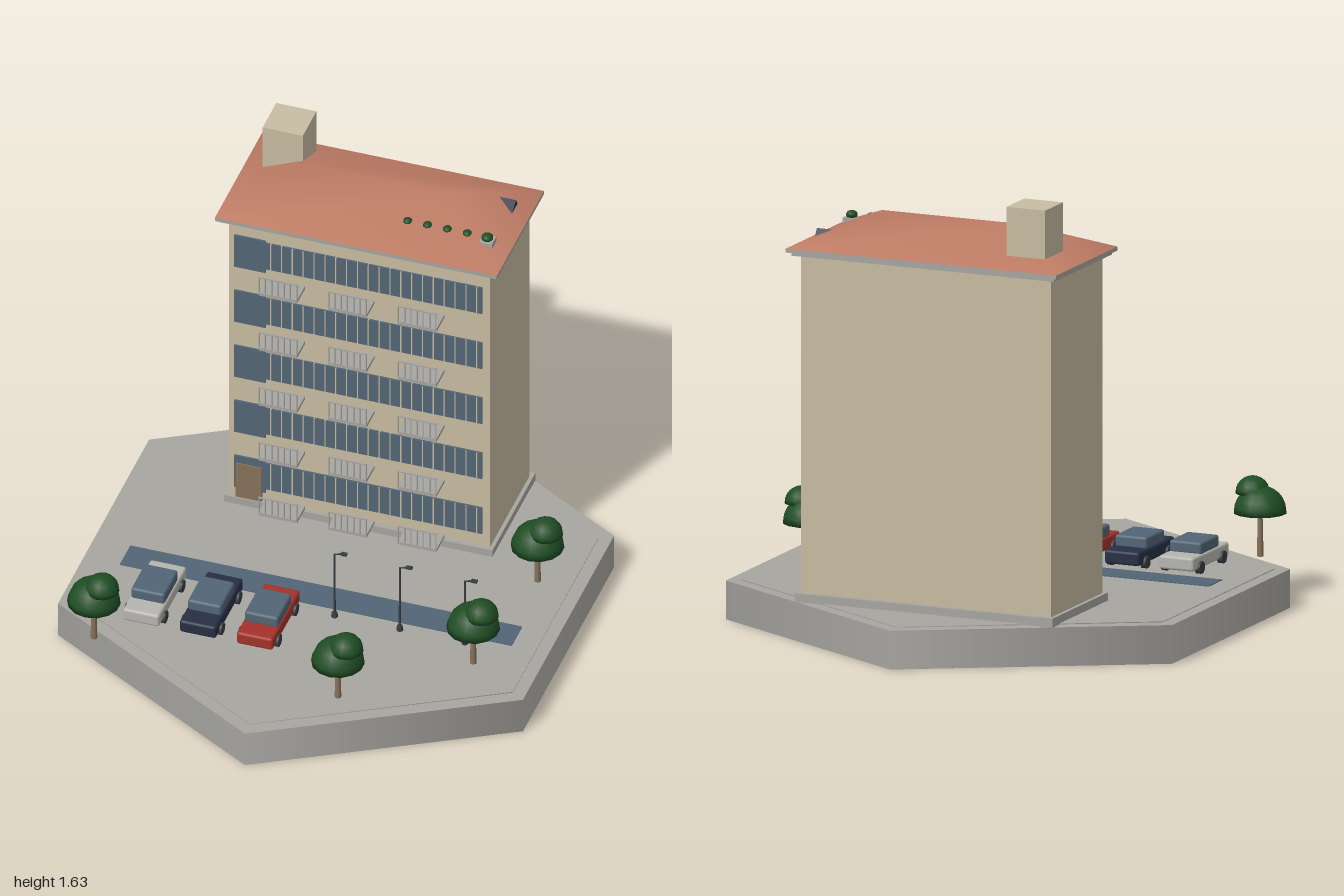
import * as THREE from 'three';
import { RoundedBoxGeometry } from 'three/addons/geometries/RoundedBoxGeometry.js';

const mat = (name, color) => {
  const m = new THREE.MeshStandardMaterial({ color });
  m.name = name;
  return m;
};

export function createModel() {
  const wall = mat('wall', 0xc8bca2), concrete = mat('concrete', 0xa6a5a0), roofTile = mat('roofTile', 0xbd7b64);
  const glass = mat('glass', 0x526575), navy = mat('navy', 0x272f44), red = mat('red', 0xa3322a);
  const silver = mat('silver', 0xb6b5b0), leaf = mat('leaf', 0x1f4d24), wood = mat('wood', 0x86725a);
  const metal = mat('metal', 0x3a3d42);

  const model = new THREE.Group();
  model.name = 'apartmentBlock';

  const add = (parent, name, geo, material, x = 0, y = 0, z = 0) => {
    const mesh = new THREE.Mesh(geo, material);
    mesh.name = name;
    mesh.position.set(x, y, z);
    parent.add(mesh);
    return mesh;
  };
  // Box given by its minimum and maximum corners
  const box = (parent, name, material, x0, x1, y0, y1, z0, z1) =>
    add(parent, name, new THREE.BoxGeometry(x1 - x0, y1 - y0, z1 - z0), material,
      (x0 + x1) / 2, (y0 + y1) / 2, (z0 + z1) / 2);
  const group = (name, x = 0, y = 0, z = 0, parent = model) => {
    const g = new THREE.Group();
    g.name = name;
    g.position.set(x, y, z);
    parent.add(g);
    return g;
  };

  // Ground: hexagonal slab with a thin paved inset and a coloured lane
  const GROUND = 0.14;
  add(model, 'groundSlab', new THREE.CylinderGeometry(1, 1, GROUND, 6).toNonIndexed(), concrete, 0, GROUND / 2, 0);
  add(model, 'paving', new THREE.CylinderGeometry(0.945, 0.945, 0.003, 6), concrete, 0, GROUND + 0.0015, 0);
  box(model, 'lane', glass, -0.73, 0.73, GROUND, GROUND + 0.006, 0.107, 0.222);

  // Building body
  const building = group('building');
  box(building, 'plinth', concrete, -0.5, 0.5, GROUND, 0.172, -0.715, -0.243);
  box(building, 'walls', wall, -0.486, 0.486, 0.165, 1.4, -0.694, -0.26);
  box(building, 'lowerEaves', concrete, -0.51, 0.51, 1.392, 1.405, -0.722, -0.232);
  box(building, 'upperEaves', concrete, -0.525, 0.525, 1.405, 1.419, -0.737, -0.217);
  box(building, 'chimney', wall, -0.445, -0.295, 1.42, 1.63, -0.656, -0.506);

  // Hipped roof, softly shaded across its ridge
  const roofGeo = new THREE.BufferGeometry();
  roofGeo.setAttribute('position', new THREE.Float32BufferAttribute([
    -0.525, 1.419, -0.217, 0.525, 1.419, -0.217, 0.525, 1.419, -0.737, -0.525, 1.419, -0.737,
    -0.27, 1.53, -0.477, 0.27, 1.53, -0.477], 3));
  roofGeo.setIndex([0, 1, 5, 0, 5, 4, 1, 2, 5, 2, 3, 4, 2, 4, 5, 3, 0, 4]);
  roofGeo.computeVertexNormals();
  add(building, 'roof', roofGeo, roofTile);

  // Floors: window bands, mullions and balconies
  const FLOORS = 5, STEP = 0.245, BARS = 7;
  for (let f = 0; f < FLOORS; f++) {
    const y = f * STEP;
    const floor = group('floor', 0, y, 0, building);
    box(floor, 'stairWindow', glass, -0.465, -0.349, 0.21, 0.35, -0.26, -0.253);
    box(floor, 'windowBand', glass, -0.349, 0.458, 0.227, 0.342, -0.26, -0.253);
    for (let i = 0; i < 20; i++) {
      const x = -0.349 + (i + 0.5) * 0.0404;
      box(floor, 'mullion', wall, x - 0.002, x + 0.002, 0.227, 0.342, -0.26, -0.251);
    }
    for (const x of [-0.275, -0.016, 0.244]) {
      const balcony = group('balcony', x, 0, 0, floor);
      box(balcony, 'balconySlab', concrete, -0.072, 0.072, 0.172, 0.184, -0.26, -0.17);
      box(balcony, 'handrail', concrete, -0.072, 0.072, 0.248, 0.253, -0.175, -0.17);
      for (let b = 0; b < BARS; b++) {
        const bx = -0.07 + (b * 0.14) / (BARS - 1);
        box(balcony, 'railBar', concrete, bx - 0.002, bx + 0.002, 0.184, 0.25, -0.174, -0.17);
      }
    }
  }
  box(building, 'door', wood, -0.458, -0.361, 0.172, 0.32, -0.26, -0.248);

  // Closed dome used for crowns and shrubs
  const dome = (r, h) => {
    const pts = [new THREE.Vector2(0, 0)];
    for (let i = 0; i <= 6; i++) {
      const a = (i / 6) * Math.PI / 2;
      pts.push(new THREE.Vector2(i === 6 ? 0 : r * Math.cos(a), h * Math.sin(a)));
    }
    return new THREE.LatheGeometry(pts, 14);
  };

  // Rooftop planters and tilted solar panel
  for (let i = 0; i < 5; i++) {
    const planter = group('roofPlanter', 0.148 + i * 0.074, 0, -0.353);
    if (i === 4) box(planter, 'planterBox', concrete, -0.025, 0.025, 1.44, 1.464, -0.025, 0.025);
    add(planter, 'shrub', new THREE.SphereGeometry(i === 4 ? 0.022 : 0.018, 8, 6), leaf, 0, 1.473, 0).scale.y = 0.7;
  }
  const panel = add(model, 'solarPanel', new THREE.BoxGeometry(0.1, 0.03, 0.1), navy, 0.42, 1.432, -0.557);
  panel.rotation.x = Math.PI / 6;

  // Parked cars
  const wheelGeo = new THREE.CylinderGeometry(0.023, 0.023, 0.02, 14).rotateZ(Math.PI / 2);
  [[-0.544, silver], [-0.333, navy], [-0.121, red]].forEach(([x, paint]) => {
    const car = group('car', x, GROUND, 0.387);
    add(car, 'carBody', new RoundedBoxGeometry(0.135, 0.05, 0.307, 2, 0.01), paint, 0, 0.043, 0);
    add(car, 'cabin', new RoundedBoxGeometry(0.125, 0.046, 0.155, 2, 0.01), glass, 0, 0.085, 0.002);
    for (const sx of [-1, 1]) for (const sz of [-1, 1])
      add(car, 'wheel', wheelGeo, metal, sx * 0.066, 0.024, sz * 0.094);
  });

  // Street lamps
  for (const x of [0.083, 0.326, 0.568]) {
    const lamp = group('streetLamp', x, GROUND, 0.26);
    add(lamp, 'lampBase', new THREE.CylinderGeometry(0.01, 0.013, 0.022, 10), metal, 0, 0.011, 0);
    add(lamp, 'lampPost', new THREE.CylinderGeometry(0.0035, 0.0045, 0.28, 8), metal, 0, 0.14, 0);
    const arm = add(lamp, 'lampArm', new THREE.CylinderGeometry(0.003, 0.003, 0.036, 6), metal, 0.016, 0.284, 0);
    arm.rotation.z = -1.25;
    box(lamp, 'lampHead', metal, 0.024, 0.046, 0.284, 0.292, -0.007, 0.007);
  }

  // Trees with two stacked crowns
  for (const [x, z] of [[0.695, -0.165], [0.632, 0.356], [0.243, 0.695], [-0.683, 0.645]]) {
    const tree = group('tree', x, GROUND, z);
    add(tree, 'trunk', new THREE.CylinderGeometry(0.008, 0.012, 0.18, 10), wood, 0, 0.09, 0);
    add(tree, 'lowerCrown', dome(0.095, 0.097), leaf, 0, 0.158, 0);
    add(tree, 'upperCrown', dome(0.062, 0.062), leaf, 0.032, 0.225, 0.006);
  }

  return model;
}
